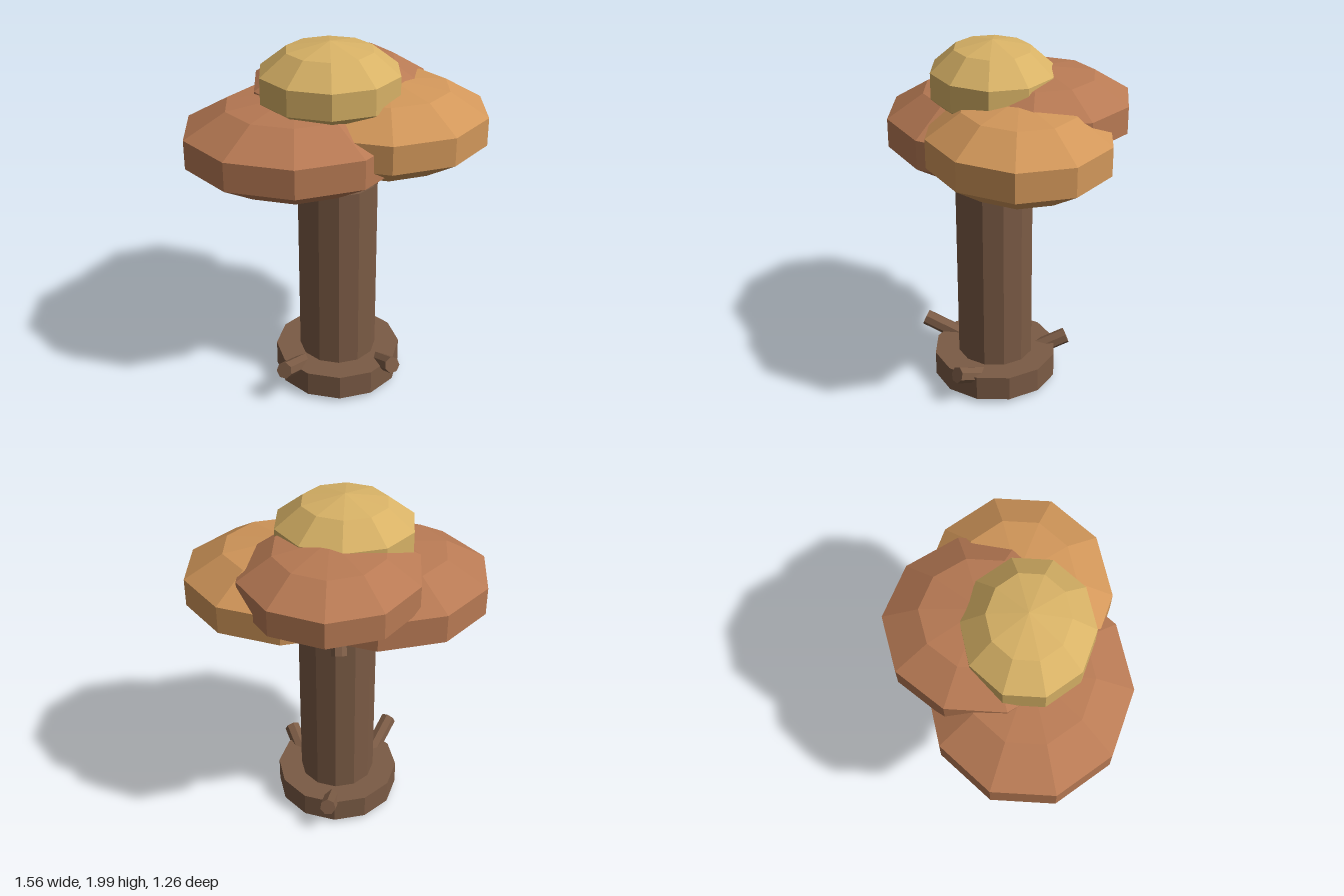
import * as THREE from 'three';

const material = (name, color) => {
  const m = new THREE.MeshStandardMaterial({ color, flatShading: true });
  m.name = name;
  return m;
};

export function createModel() {
  const group = new THREE.Group();
  const bark = material('bark brown', 0x7b5b45);
  const russet = material('russet leaves', 0xb87a54);
  const amber = material('amber leaves', 0xd2975a);
  const gold = material('golden leaves', 0xd8b266);

  const add = (name, geometry, mat, x = 0, y = 0, z = 0) => {
    const mesh = new THREE.Mesh(geometry, mat);
    mesh.name = name;
    mesh.position.set(x, y, z);
    group.add(mesh);
    return mesh;
  };

  // Straight limb between two points
  const limb = (name, from, to, radius) => {
    const a = new THREE.Vector3(...from);
    const b = new THREE.Vector3(...to);
    const dir = b.clone().sub(a);
    const mesh = add(name, new THREE.CylinderGeometry(radius, radius, dir.length(), 7), bark);
    mesh.position.copy(a).add(b).multiplyScalar(0.5);
    mesh.quaternion.setFromUnitVectors(new THREE.Vector3(0, 1, 0), dir.normalize());
  };

  // Trunk and its flared foot
  add('trunk', new THREE.CylinderGeometry(0.215, 0.215, 1.2, 12), bark, 0.005, 0.635, 0.095);
  add('trunkBase', new THREE.CylinderGeometry(0.352, 0.352, 0.142, 12), bark, 0.005, 0.104, 0.097);

  // Roots rise outward from under the base
  limb('frontRightRoot', [-0.1, 0.05, 0.05], [-0.3, 0.235, 0.45], 0.046);
  limb('frontLeftRoot', [0.14, 0.05, 0.05], [0.3, 0.205, 0.38], 0.046);
  limb('backRoot', [0.0, 0.05, 0.04], [0.04, 0.2, -0.32], 0.046);

  // Branches into the canopy
  limb('rightBranch', [-0.12, 1.16, 0.0], [-0.4, 1.33, -0.03], 0.045);
  limb('leftBranch', [0.1, 1.15, 0.03], [0.4, 1.41, 0.0], 0.045);
  limb('backBranch', [-0.02, 1.22, -0.235], [0.0, 1.5, -0.03], 0.043);

  // Flattened, faceted leaf clumps: name, material, centre, radii
  const clumps = [
    ['rightLeaves', russet, [-0.22, 1.465, 0.11], [0.62, 0.257, 0.547]],
    ['leftLeaves', amber, [0.26, 1.525, 0.02], [0.575, 0.25, 0.51]],
    ['backLeaves', russet, [0.03, 1.628, -0.14], [0.506, 0.235, 0.52]],
    ['topLeaves', gold, [-0.035, 1.7725, 0.09], [0.3925, 0.2275, 0.347]],
  ];
  for (const [name, mat, centre, radii] of clumps) {
    const geometry = new THREE.SphereGeometry(1, 10, 5).rotateY(Math.PI / 2).scale(...radii);
    add(name, geometry, mat, ...centre);
  }

  return group;
}
